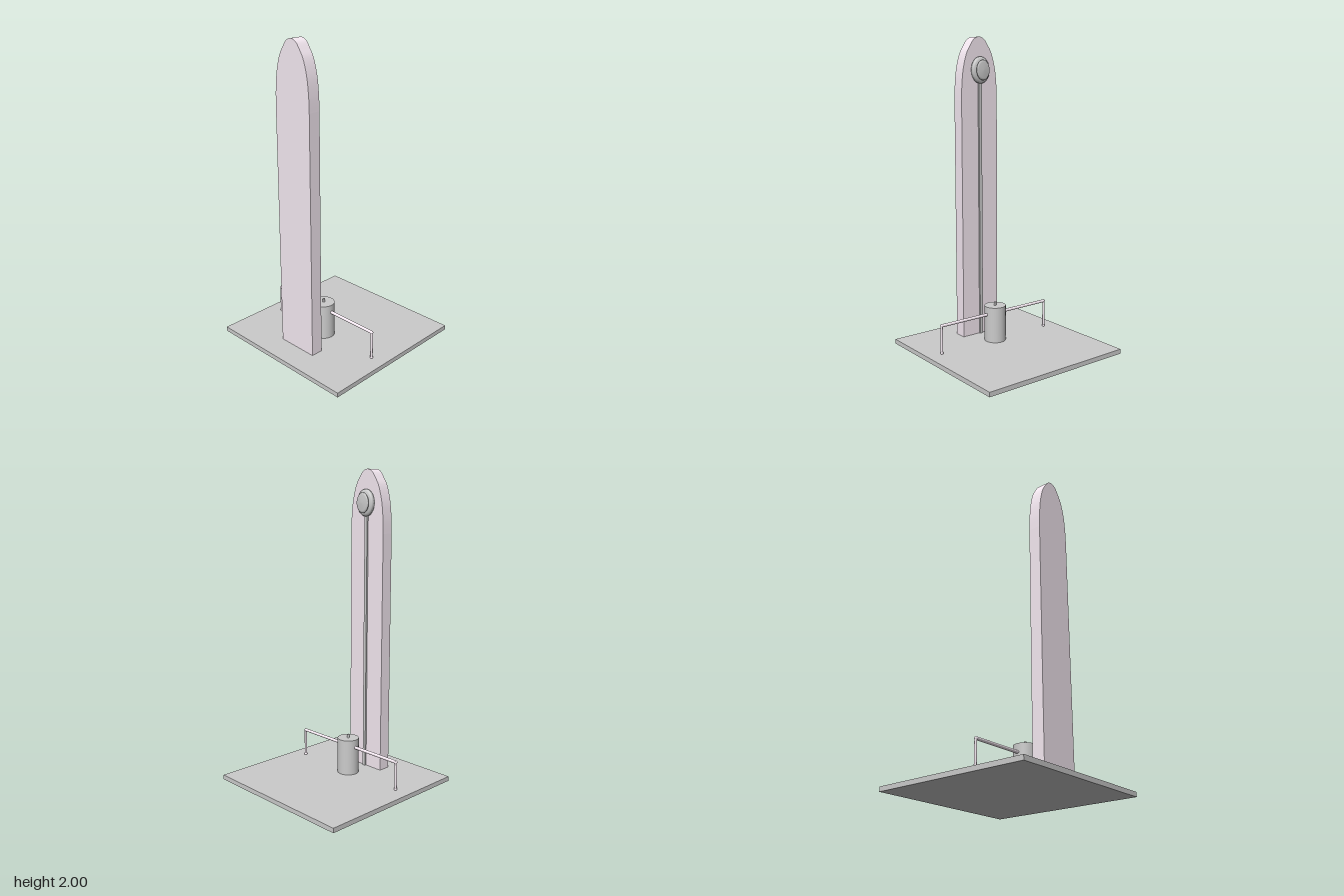
import * as THREE from 'three';

const grey = new THREE.MeshStandardMaterial({ color: 0xcccccc });
const pale = new THREE.MeshStandardMaterial({ color: 0xf5e9f2 });

export function createModel() {
  const model = new THREE.Group();
  const add = (name, geometry, material, x = 0, y = 0, z = 0, parent = model) => {
    const mesh = new THREE.Mesh(geometry, material);
    mesh.name = name;
    mesh.position.set(x, y, z);
    parent.add(mesh);
    return mesh;
  };

  // Square ground plate
  add('base', new THREE.BoxGeometry(1.045, 0.03, 1.045), grey, 0, 0.015, 0);

  // Tall slab with a pointed, rounded arch on top
  const half = [[0.14, 1.6], [0.137, 1.69], [0.128, 1.78], [0.113, 1.85],
    [0.094, 1.905], [0.07, 1.945], [0.045, 1.98], [0.023, 1.995]];
  const arch = [...half, [0, 2], ...half.map(([x, y]) => [-x, y]).reverse()]
    .map(([x, y]) => new THREE.Vector2(x, y));
  const outline = new THREE.Shape();
  outline.moveTo(-0.14, 0.002);
  outline.lineTo(0.14, 0.002);
  outline.lineTo(0.14, 1.6);
  outline.splineThru(arch.slice(1));
  outline.closePath();
  add('slab', new THREE.ExtrudeGeometry(outline, { depth: 0.08, bevelEnabled: false, curveSegments: 32 }),
    pale, 0, 0, 0.277);

  // Narrow strip running up the back of the slab
  add('backStrip', new THREE.BoxGeometry(0.022, 1.72, 0.014), grey, 0, 0.87, 0.273);

  // Oval stepped knob near the top of the back
  const profile = [[0, 0], [0.067, 0], [0.067, 0.018], [0.064, 0.024], [0.055, 0.03], [0.042, 0.032],
    [0.042, 0.036], [0.049, 0.038], [0.051, 0.042], [0.049, 0.046], [0.04, 0.051], [0, 0.053]]
    .map(([r, h]) => new THREE.Vector2(r, h));
  const knobGeometry = new THREE.LatheGeometry(profile, 48);
  knobGeometry.rotateX(-Math.PI / 2);
  knobGeometry.scale(1, 1.27, 1);
  add('knob', knobGeometry, grey, 0, 1.79, 0.278);

  // Drum with a small pin on top
  add('drum', new THREE.CylinderGeometry(0.07, 0.07, 0.235, 48), grey, 0, 0.1475, 0.115);
  add('pin', new THREE.CylinderGeometry(0.008, 0.008, 0.03, 16), grey, 0, 0.273, 0.115);

  // Mirrored side rails with posts and ball feet
  for (const side of [1, -1]) {
    const rail = new THREE.Group();
    rail.name = side > 0 ? 'leftRail' : 'rightRail';
    model.add(rail);
    const bar = add('bar', new THREE.CylinderGeometry(0.01, 0.01, 0.37, 20), pale, side * 0.235, 0.213, 0.114, rail);
    bar.rotation.z = Math.PI / 2;
    add('corner', new THREE.SphereGeometry(0.01, 20, 12), pale, side * 0.42, 0.213, 0.114, rail);
    add('post', new THREE.CylinderGeometry(0.008, 0.008, 0.19, 20), pale, side * 0.421, 0.118, 0.114, rail);
    add('foot', new THREE.SphereGeometry(0.01, 20, 12), pale, side * 0.421, 0.035, 0.114, rail);
  }
  return model;
}
